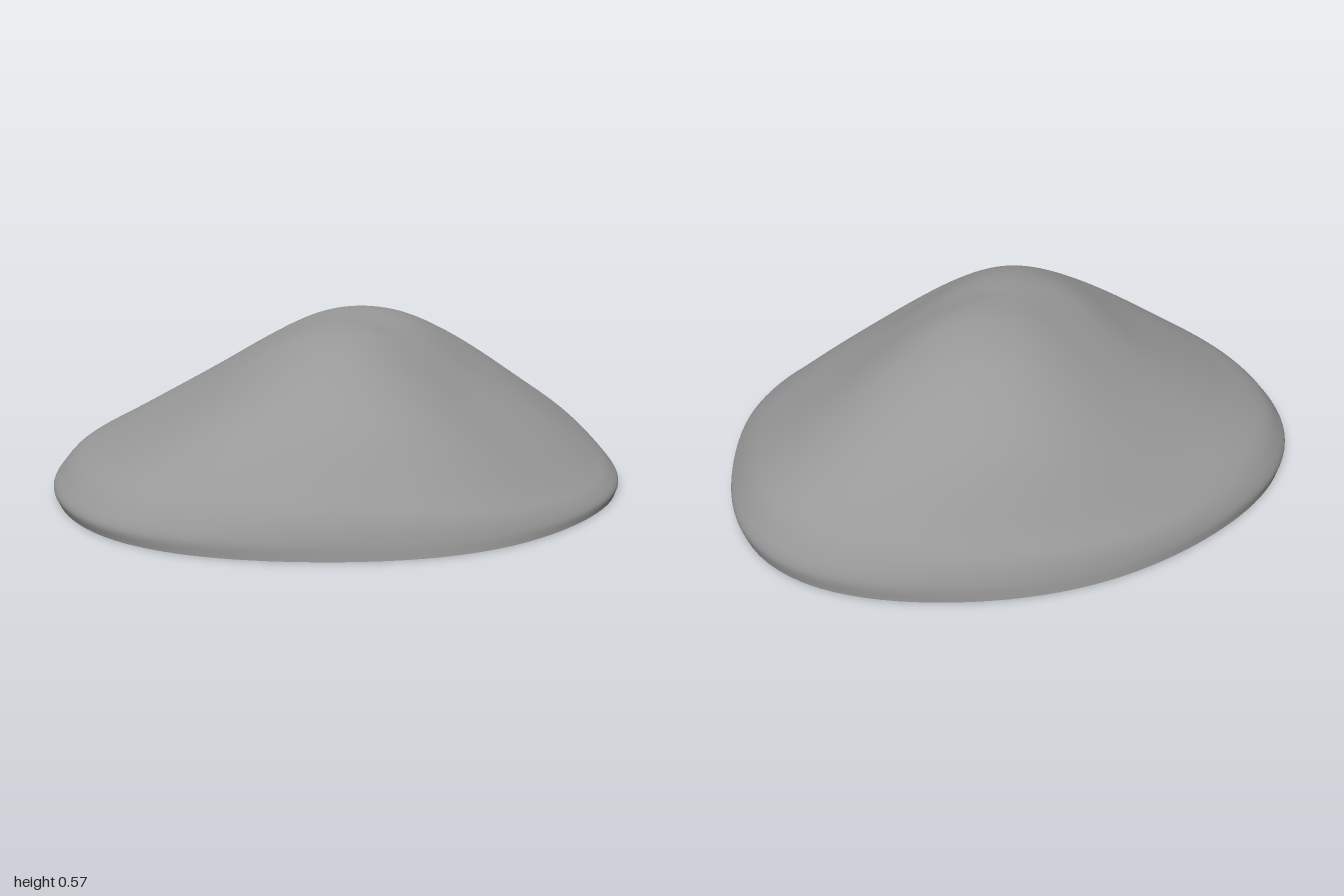
import * as THREE from 'three';

// Base outline radius every 22.5 degrees, turning from +x towards +z
const OUTLINE = [0.985, 0.96, 0.925, 0.89, 0.87, 0.87, 0.925, 0.985,
  1.0, 0.985, 0.92, 0.87, 0.875, 0.92, 1.01, 1.05];

// Heights at the radius fractions below, every 45 degrees starting at 22.5
const FRACTIONS = [0.25, 0.5, 0.75, 0.92];
const HEIGHTS = [
  [0.515, 0.37, 0.225, 0.11],
  [0.528, 0.41, 0.265, 0.12],
  [0.545, 0.48, 0.355, 0.18],
  [0.515, 0.385, 0.25, 0.14],
  [0.495, 0.355, 0.225, 0.135],
  [0.535, 0.44, 0.29, 0.14],
  [0.570, 0.52, 0.38, 0.18],
  [0.555, 0.455, 0.305, 0.175],
];
const APEX = 0.565;

// Smooth periodic curve through evenly spaced values (u counts in samples)
function cyclic(values, u) {
  const n = values.length;
  return values.reduce((sum, v, i) => {
    const x = (2 * Math.PI * (u - i)) / n;
    const s = Math.sin(x / 2);
    const weight = Math.abs(s) < 1e-6 ? 1 : (Math.sin((n * x) / 2) * Math.cos(x / 2)) / (n * s);
    return sum + v * weight;
  }, 0);
}

// Points from near the centre out to the open rim, in one direction
function spoke(angle) {
  const turn = angle / (2 * Math.PI);
  const radius = cyclic(OUTLINE, turn * 16);
  const h = FRACTIONS.map((_, k) => cyclic(HEIGHTS.map((row) => row[k]), turn * 8 - 0.5));
  const profile = FRACTIONS.map((t, k) => [t, h[k]]);
  // The rim tucks under at the sides and meets the ground plainly at front and back
  const tuck = Math.cos(angle) ** 2;
  profile.push([0.97, h[3] * 0.62], [0.992 + 0.008 * tuck, h[3] * 0.27], [1 - 0.012 * tuck, 0]);
  return profile.map(([t, y]) =>
    new THREE.Vector3(Math.cos(angle) * radius * t, y, Math.sin(angle) * radius * t));
}

export function createModel() {
  const group = new THREE.Group();
  const around = 128;
  const rings = 56;
  const positions = [0, APEX, 0];
  const index = [];

  for (let i = 0; i < around; i++) {
    const angle = (i / around) * Math.PI * 2;
    // A curve across the whole dome keeps the crown smooth
    const curve = new THREE.CatmullRomCurve3([
      ...spoke(angle + Math.PI).reverse(),
      new THREE.Vector3(0, APEX, 0),
      ...spoke(angle),
    ]);
    for (let j = 1; j <= rings; j++) {
      positions.push(...curve.getPoint(0.5 + (0.5 * j) / rings).toArray());
    }
    const a = 1 + i * rings;
    const b = 1 + ((i + 1) % around) * rings;
    index.push(0, b, a);
    for (let j = 0; j < rings - 1; j++) {
      index.push(a + j, b + j, a + j + 1, b + j, b + j + 1, a + j + 1);
    }
  }

  // Thin hollow shell, open underneath
  const geometry = new THREE.BufferGeometry();
  geometry.setAttribute('position', new THREE.Float32BufferAttribute(positions, 3));
  geometry.setIndex(index);
  geometry.computeVertexNormals();
  const shell = new THREE.Mesh(geometry,
    new THREE.MeshStandardMaterial({ color: 0x999999, side: THREE.DoubleSide }));
  shell.name = 'domeShell';
  group.add(shell);
  return group;
}
